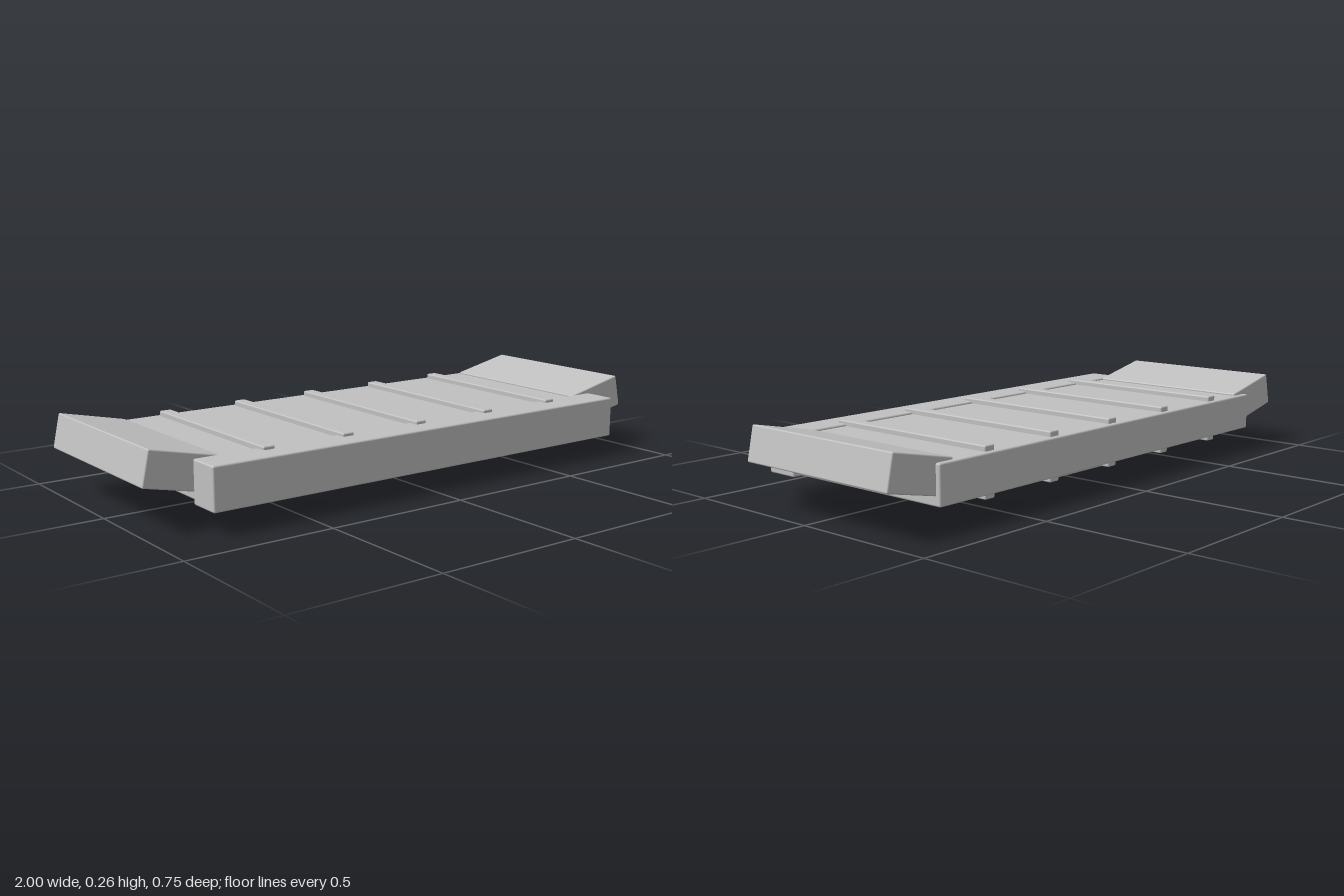
import * as THREE from 'three';
import { RoundedBoxGeometry } from 'three/addons/geometries/RoundedBoxGeometry.js';

export function createModel() {
  const model = new THREE.Group();
  model.name = 'curvedPanel';
  const grey = new THREE.MeshStandardMaterial({ color: 0xc0c0c0 });
  grey.name = 'light grey';

  // Softly bevelled box given by its extents on each axis
  function block(name, [x0, x1], [y0, y1], [z0, z1], bevel = 0.006) {
    const geometry = new RoundedBoxGeometry(x1 - x0, y1 - y0, z1 - z0, 2, bevel);
    const mesh = new THREE.Mesh(geometry, grey);
    mesh.name = name;
    mesh.position.set((x0 + x1) / 2, (y0 + y1) / 2, (z0 + z1) / 2);
    model.add(mesh);
    return mesh;
  }

  // Main slab and the slightly thicker bar along the front
  block('deck', [-0.815, 0.815], [0.08, 0.208], [-0.376, 0.29]);
  block('frontRail', [-0.832, 0.832], [0.074, 0.215], [0.26, 0.377]);

  // Cross ribs that show above and below the slab
  for (let i = -2; i <= 2; i++) {
    const x = i * 0.296;
    block('rib', [x - 0.021, x + 0.021], [0.062, 0.226], [-0.36, 0.3], 0.005);
  }

  // Upturned end wings, mirrored
  const tilt = 0.214;
  const length = 0.238;
  const thickness = 0.116;
  for (const side of [-1, 1]) {
    const wing = block(side > 0 ? 'leftWing' : 'rightWing',
      [-length / 2, length / 2], [-thickness / 2, thickness / 2], [-0.36, 0.265], 0.005);
    wing.rotation.z = side * tilt;
    wing.position.x = side * 0.872;
    wing.position.y = 0.183;
  }

  // Mounting box underneath with two short pins
  block('mountBox', [-0.158, 0.154], [0.015, 0.1], [-0.203, 0.144], 0.005);
  for (const x of [-0.107, 0.103]) {
    const pin = new THREE.Mesh(new THREE.CylinderGeometry(0.019, 0.019, 0.03, 20), grey);
    pin.name = 'pin';
    pin.position.set(x, 0.015, -0.03);
    model.add(pin);
  }

  return model;
}
